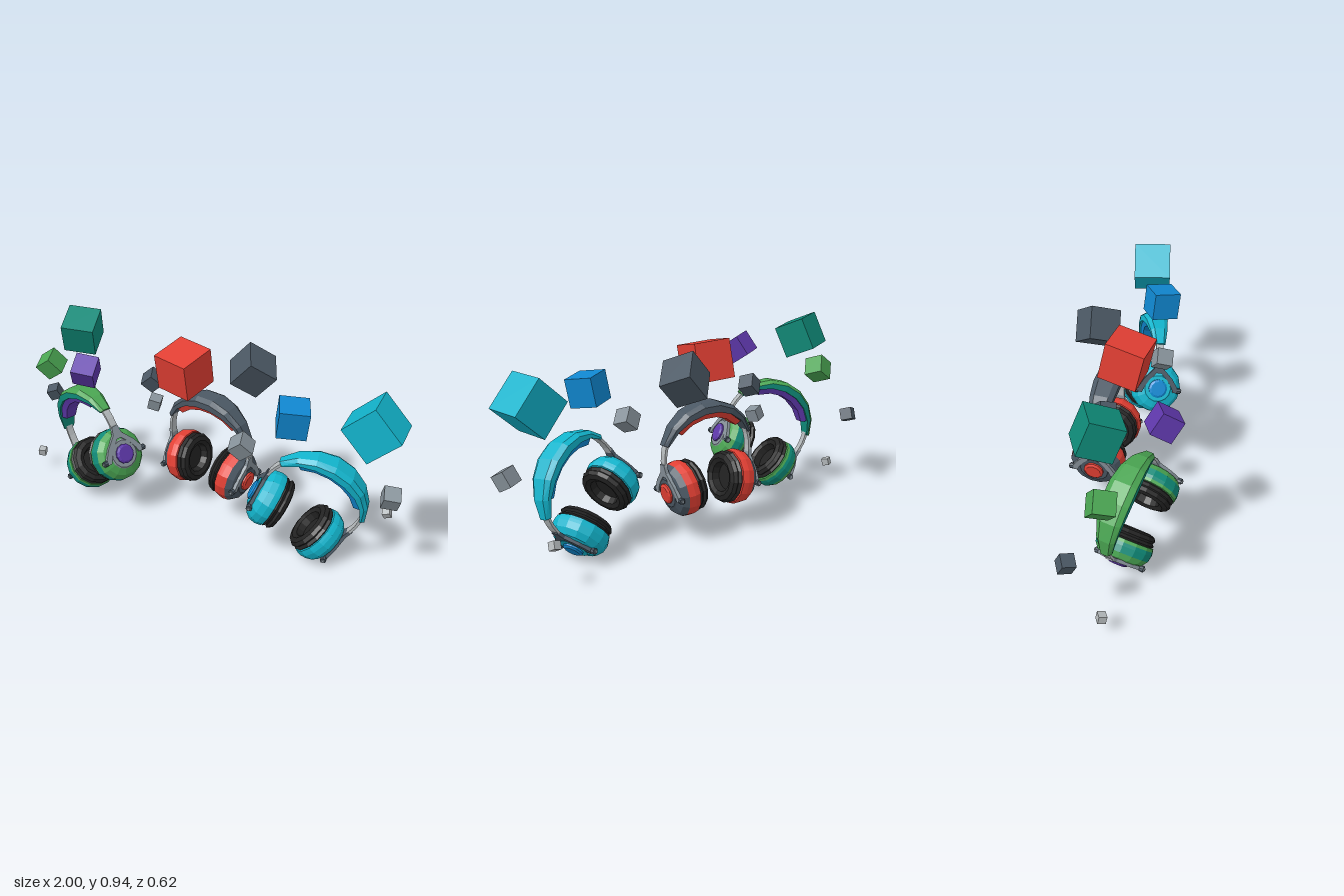
import * as THREE from 'three';

const GREY = 0x87929a, LIGHT = 0xb4b9bb, DARK = 0x4b5864, BLACK = 0x222222;
const RED = 0xe23f33, GREEN = 0x4aa552, TEAL = 0x0f8a78, PURPLE = 0x5f38ac, CYAN = 0x12b4cc, BLUE = 0x1087d0;

const v3 = (a) => new THREE.Vector3(...a);
const deg = THREE.MathUtils.degToRad;

function part(name, geometry, color, parent) {
  const mesh = new THREE.Mesh(geometry, new THREE.MeshStandardMaterial({ color, flatShading: true }));
  mesh.name = name;
  parent.add(mesh);
  return mesh;
}

// Sweeps a convex (radius, z) section along an arc in the XY plane; section(t) may vary with t
function sweepArc(section, from, to, steps) {
  const pos = [], idx = [], m = section(0).length;
  for (let i = 0; i <= steps; i++) {
    const t = i / steps, a = deg(from + (to - from) * t);
    for (const [r, z] of section(t)) pos.push(r * Math.cos(a), r * Math.sin(a), z);
  }
  for (let i = 0; i < steps; i++) for (let j = 0; j < m; j++) {
    const a = i * m + j, b = i * m + (j + 1) % m;
    idx.push(a, a + m, b, a + m, b + m, b);
  }
  const e = steps * m;
  for (let j = 1; j < m - 1; j++) idx.push(0, j, j + 1, e, e + j + 1, e + j);
  const g = new THREE.BufferGeometry();
  g.setAttribute('position', new THREE.Float32BufferAttribute(pos, 3));
  g.setIndex(idx);
  g.computeVertexNormals();
  return g;
}

// Turned part whose axis points along +x (outward from the head)
function turned(points, sides = 14) {
  return new THREE.LatheGeometry(points.map(p => new THREE.Vector2(...p)), sides).rotateZ(-Math.PI / 2);
}

// Wishbone fork plate, symmetric in z
function forkGeometry() {
  const half = [[0.016, 0.14], [0.024, 0.1], [0.072, 0.05], [0.1, 0.005], [0.1, -0.02], [0.08, -0.02],
    [0.07, 0.005], [0.048, 0.04], [0.012, 0.078]];
  const outline = [...half, ...half.slice().reverse().map(([z, y]) => [-z, y])];
  const shape = new THREE.Shape(outline.map(p => new THREE.Vector2(...p)));
  return new THREE.ExtrudeGeometry(shape, { depth: 0.016, bevelEnabled: false })
    .rotateY(Math.PI / 2).translate(0.064, 0, 0);
}

// One arm and ear cup on the +x side
function makeSide(c) {
  const side = new THREE.Group();
  part('arm', sweepArc(() => [[0.222, -0.018], [0.234, -0.018], [0.234, 0.018], [0.222, 0.018]], -8, 30, 5), LIGHT, side);

  const cup = new THREE.Group();
  cup.name = 'earCup';
  cup.position.set(0.14, -0.14, 0);
  cup.rotation.z = deg(-8);
  side.add(cup);
  part('earCushion', turned([[0, -0.035], [0.062, -0.035], [0.07, -0.068], [0.09, -0.077], [0.112, -0.07],
    [0.122, -0.054], [0.113, -0.044], [0.123, -0.032], [0.11, -0.02]]), BLACK, cup);
  part('cupRim', turned([[0.1, -0.025], [0.125, -0.024], [0.128, -0.01]]), c.rim, cup);
  part('cupShell', turned([[0.128, -0.01], [0.13, 0.005], [0.124, 0.035]]), c.shell, cup);
  part('cupBevel', turned([[0.124, 0.035], [0.104, 0.06], [0.072, 0.073]]), c.bevel, cup);
  part('cupFace', turned([[0.072, 0.073], [0.066, 0.078], [0, 0.078]]), c.face, cup);
  part('hub', turned([[0.047, 0.076], [0.047, 0.086], [0.036, 0.093], [0, 0.093]], 12), c.hub, cup);
  part('fork', forkGeometry(), c.fork, cup);
  for (const s of [-1, 1]) {
    const pin = part('pivotPin', new THREE.CylinderGeometry(0.008, 0.008, 0.045, 6), GREY, cup);
    pin.rotation.x = Math.PI / 2;
    pin.position.set(0.07, -0.01, s * 0.1);
    const knob = part('pivotKnob', new THREE.CylinderGeometry(0.014, 0.014, 0.018, 8), DARK, cup);
    knob.rotation.x = Math.PI / 2;
    knob.position.set(0.07, -0.01, s * 0.108);
  }
  return side;
}

// Whole headset, origin at the centre of the headband arc
function makeHeadset(name, c, origin, xAxis, upHint) {
  const set = new THREE.Group();
  set.name = name;
  const k = t => Math.sin(Math.PI * t);
  const halfWidth = t => 0.028 + 0.034 * k(t);
  const inner = t => 0.225 - 0.025 * k(t);
  const mid = 0.232, outer = 0.247;
  part('headbandBase', sweepArc(t => {
    const h = halfWidth(t), r = inner(t);
    return [[r, -h], [mid, -h], [mid, h], [r, h]];
  }, 18, 162, 7), c.bandSide, set);
  part('headbandTop', sweepArc(t => {
    const h = halfWidth(t);
    return [[mid, -h], [outer, -h * 0.6], [outer, h * 0.6], [mid, h]];
  }, 18, 162, 7), c.bandTop, set);
  part('headbandPadding', sweepArc(t => {
    const h = 0.035 + 0.015 * k(t), r = 0.212 - 0.011 * k(t);
    return [[r - 0.028, -h * 0.75], [r, -h], [r, h], [r - 0.028, h * 0.75]];
  }, 38, 142, 5), c.padding, set);
  for (const [sideName, turn] of [['leftSide', 0], ['rightSide', Math.PI]]) {
    const side = makeSide(c);
    side.name = sideName;
    side.rotation.y = turn;
    set.add(side);
  }
  const x = v3(xAxis).normalize();
  const z = x.clone().cross(v3(upHint)).normalize();
  const y = z.clone().cross(x);
  set.quaternion.setFromRotationMatrix(new THREE.Matrix4().makeBasis(x, y, z));
  set.position.set(...origin);
  return set;
}

export function createModel() {
  const model = new THREE.Group();
  model.name = 'headsetDisplay';

  model.add(makeHeadset('greenHeadset', {
    shell: TEAL, rim: GREEN, bevel: GREEN, face: GREY, hub: PURPLE, fork: GREY,
    bandSide: TEAL, bandTop: GREEN, padding: PURPLE,
  }, [-0.55, 0.364, 0.107], [0.79, 0.56, 0.25], [-0.56, 0.82, -0.1]));
  model.add(makeHeadset('redHeadset', {
    shell: RED, rim: RED, bevel: DARK, face: DARK, hub: RED, fork: GREY,
    bandSide: DARK, bandTop: DARK, padding: RED,
  }, [-0.003, 0.39, -0.12], [1, -0.01, 0.06], [0, 1, 0.04]));
  model.add(makeHeadset('cyanHeadset', {
    shell: CYAN, rim: CYAN, bevel: CYAN, face: CYAN, hub: BLUE, fork: DARK,
    bandSide: CYAN, bandTop: CYAN, padding: BLUE,
  }, [0.602, 0.325, -0.025], [0.757, -0.568, -0.322], [0.57, 0.8, -0.07]));

  // Floating cubes: position, size, colour, rotation in degrees
  const cubes = [
    [[-0.665, 0.845, 0.0], 0.155, TEAL, [25, 20, -14]],
    [[-0.46, 0.77, 0.225], 0.105, PURPLE, [35, 15, -20]],
    [[-0.075, 0.79, -0.01], 0.18, RED, [12, -8, -2]],
    [[0.175, 0.775, -0.2], 0.15, DARK, [25, 30, 40]],
    [[0.515, 0.735, 0.04], 0.13, BLUE, [10, 30, -10]],
    [[0.845, 0.74, -0.07], 0.18, CYAN, [0, 10, 42]],
    [[-0.84, 0.64, 0.05], 0.095, GREEN, [20, 20, 30]],
    [[-0.95, 0.405, -0.07], 0.06, DARK, [20, 30, 10]],
    [[-0.945, 0.11, 0.065], 0.036, LIGHT, [15, 25, -10]],
    [[-0.295, 0.655, -0.06], 0.073, DARK, [20, 25, 35]],
    [[-0.305, 0.52, -0.09], 0.058, GREY, [15, 20, -20]],
    [[0.295, 0.55, 0.085], 0.08, GREY, [20, 20, 35]],
    [[0.95, 0.445, -0.05], 0.072, GREY, [30, 20, -20]],
    [[0.86, 0.21, -0.275], 0.036, LIGHT, [30, 20, 10]],
  ];
  for (const [position, size, color, rotation] of cubes) {
    const cube = part('floatingCube', new THREE.BoxGeometry(size, size, size), color, model);
    cube.position.set(...position);
    cube.rotation.set(...rotation.map(deg));
  }
  return model;
}
